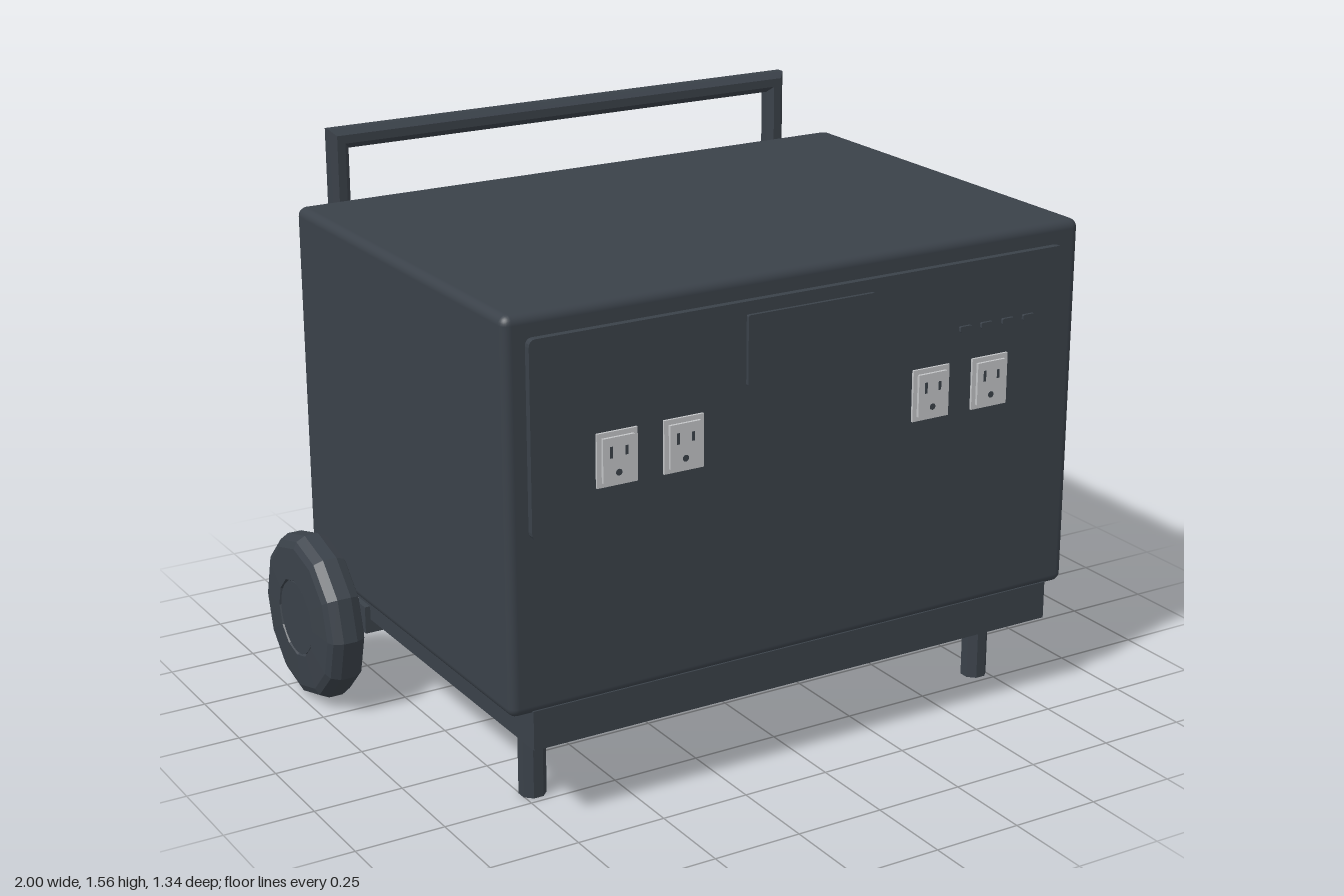
import * as THREE from 'three';
import { RoundedBoxGeometry } from 'three/addons/geometries/RoundedBoxGeometry.js';

const mat = (name, color, flatShading = false) => {
  const m = new THREE.MeshStandardMaterial({ color });
  m.name = name;
  m.flatShading = flatShading;
  return m;
};

export function createModel() {
  const model = new THREE.Group();
  model.name = 'portablePowerStation';
  const slate = mat('darkSlate', 0x3a4149);
  const faceted = mat('darkSlateFaceted', 0x3a4149, true);
  const lightGrey = mat('lightGrey', 0xc2c4c6);

  const add = (name, geometry, material, x = 0, y = 0, z = 0, parent = model) => {
    const mesh = new THREE.Mesh(geometry, material);
    mesh.name = name;
    mesh.position.set(x, y, z);
    parent.add(mesh);
    return mesh;
  };
  // Box given by its limits, with optional rounding
  const block = (name, material, [x0, x1], [y0, y1], [z0, z1], r = 0, parent = model) => {
    const s = [x1 - x0, y1 - y0, z1 - z0];
    const g = r ? new RoundedBoxGeometry(...s, 3, r) : new THREE.BoxGeometry(...s);
    return add(name, g, material, (x0 + x1) / 2, (y0 + y1) / 2, (z0 + z1) / 2, parent);
  };
  // Front plate with rounded corners
  const plate = (name, w, h, d, r, x, y, z) => {
    const a = w / 2, b = h / 2, s = new THREE.Shape();
    s.moveTo(-a + r, -b).lineTo(a - r, -b).quadraticCurveTo(a, -b, a, -b + r);
    s.lineTo(a, b - r).quadraticCurveTo(a, b, a - r, b);
    s.lineTo(-a + r, b).quadraticCurveTo(-a, b, -a, b - r);
    s.lineTo(-a, -b + r).quadraticCurveTo(-a, -b, -a + r, -b);
    const g = new THREE.ExtrudeGeometry(s, { depth: d, bevelEnabled: false, curveSegments: 4 });
    return add(name, g, slate, x, y, z);
  };

  // Housing and base
  block('housing', slate, [-0.873, 0.873], [0.32, 1.37], [-0.575, 0.635], 0.025);
  block('base', slate, [-0.81, 0.81], [0.222, 0.33], [-0.575, 0.635]);

  // Control panel, screen and buttons
  plate('controlPanel', 1.62, 0.515, 0.03, 0.02, -0.004, 1.053, 0.624);
  plate('screen', 0.385, 0.187, 0.012, 0.005, -0.006, 1.183, 0.652);
  for (const x of [0.484, 0.553, 0.623, 0.692]) {
    plate('button', 0.038, 0.016, 0.01, 0.004, x, 1.13, 0.652);
  }

  // Power outlets with two slots and a ground hole
  for (const x of [-0.577, -0.385, 0.375, 0.567]) {
    const outlet = new THREE.Group();
    outlet.name = 'outlet';
    outlet.position.set(x, 0.971, 0);
    model.add(outlet);
    block('outletPlate', lightGrey, [-0.058, 0.058], [-0.071, 0.071], [0.65, 0.661], 0, outlet);
    block('outletFace', lightGrey, [-0.045, 0.045], [-0.058, 0.058], [0.655, 0.669], 0, outlet);
    for (const [sx, h] of [[-0.022, 0.03], [0.022, 0.024]]) {
      block('slot', slate, [sx - 0.004, sx + 0.004], [0.02 - h / 2, 0.02 + h / 2], [0.667, 0.67], 0, outlet);
    }
    const ground = add('groundHole', new THREE.CylinderGeometry(0.009, 0.009, 0.003, 10), slate, 0, -0.035, 0.6685, outlet);
    ground.rotation.x = Math.PI / 2;
  }

  // Axle
  const axle = add('axle', new THREE.CylinderGeometry(0.022, 0.022, 1.8, 12), lightGrey, 0, 0.243, -0.415);
  axle.rotation.z = Math.PI / 2;

  // Wheel profile: chamfered tyre with a shallow hub
  const wheelProfile = [[0, -0.055], [0.205, -0.055], [0.225, -0.046], [0.238, -0.02],
    [0.238, 0.02], [0.225, 0.046], [0.205, 0.055], [0.112, 0.06], [0.108, 0.052], [0, 0.052]]
    .map(([r, y]) => new THREE.Vector2(r, y));

  for (const side of [-1, 1]) {
    const wheel = add('wheel', new THREE.LatheGeometry(wheelProfile, 12), faceted, side * 0.94, 0.238, -0.415);
    wheel.rotation.z = -side * Math.PI / 2;
    const hub = add('hubCap', new THREE.CylinderGeometry(0.105, 0.105, 0.012, 24), slate, side * 0.991, 0.238, -0.415);
    hub.rotation.z = Math.PI / 2;

    // Axle bracket, front leg and handle mount
    const span = (a, b) => (side > 0 ? [a, b] : [-b, -a]);
    block('axleBracket', slate, span(0.752, 0.826), [0.182, 0.225], [-0.5, -0.33]);
    block('axleBracketSide', slate, span(0.8, 0.826), [0.182, 0.262], [-0.5, -0.33]);
    const leg = add('frontLeg', new THREE.CylinderGeometry(0.037, 0.037, 0.23, 8), faceted, side * 0.718, 0.115, 0.447);
    leg.rotation.y = Math.PI / 8;
    block('handleMount', slate, span(0.465, 0.778), [1.217, 1.31], [-0.61, -0.565], 0.015);
  }

  // Handle: an octagonal section swept round two mitred corners
  const stations = [[-0.715, 0.32, -1, 0], [-0.715, 1.528, -1, 1], [0.715, 1.528, 1, 1], [0.715, 0.32, 1, 0]];
  const n = 8, pos = [], index = [];
  for (const [x, y, nx, ny] of stations) {
    for (let i = 0; i < n; i++) {
      const t = ((i + 0.5) / n) * Math.PI * 2;
      const a = Math.cos(t) * 0.031, b = Math.sin(t) * 0.033;
      pos.push(x + a * nx, y + a * ny, -0.637 + b);
    }
  }
  for (let s = 0; s < stations.length - 1; s++) {
    for (let i = 0; i < n; i++) {
      const a = s * n + i, b = s * n + (i + 1) % n;
      index.push(a, a + n, b, b, a + n, b + n);
    }
  }
  for (let i = 1; i < n - 1; i++) {
    index.push(0, i, i + 1);
    index.push(3 * n, 3 * n + i + 1, 3 * n + i);
  }
  const tube = new THREE.BufferGeometry();
  tube.setAttribute('position', new THREE.Float32BufferAttribute(pos, 3));
  tube.setIndex(index);
  const flatTube = tube.toNonIndexed();
  flatTube.computeVertexNormals();
  const handleMaterial = faceted;
  handleMaterial.side = THREE.DoubleSide;
  add('handle', flatTube, handleMaterial);

  return model;
}
